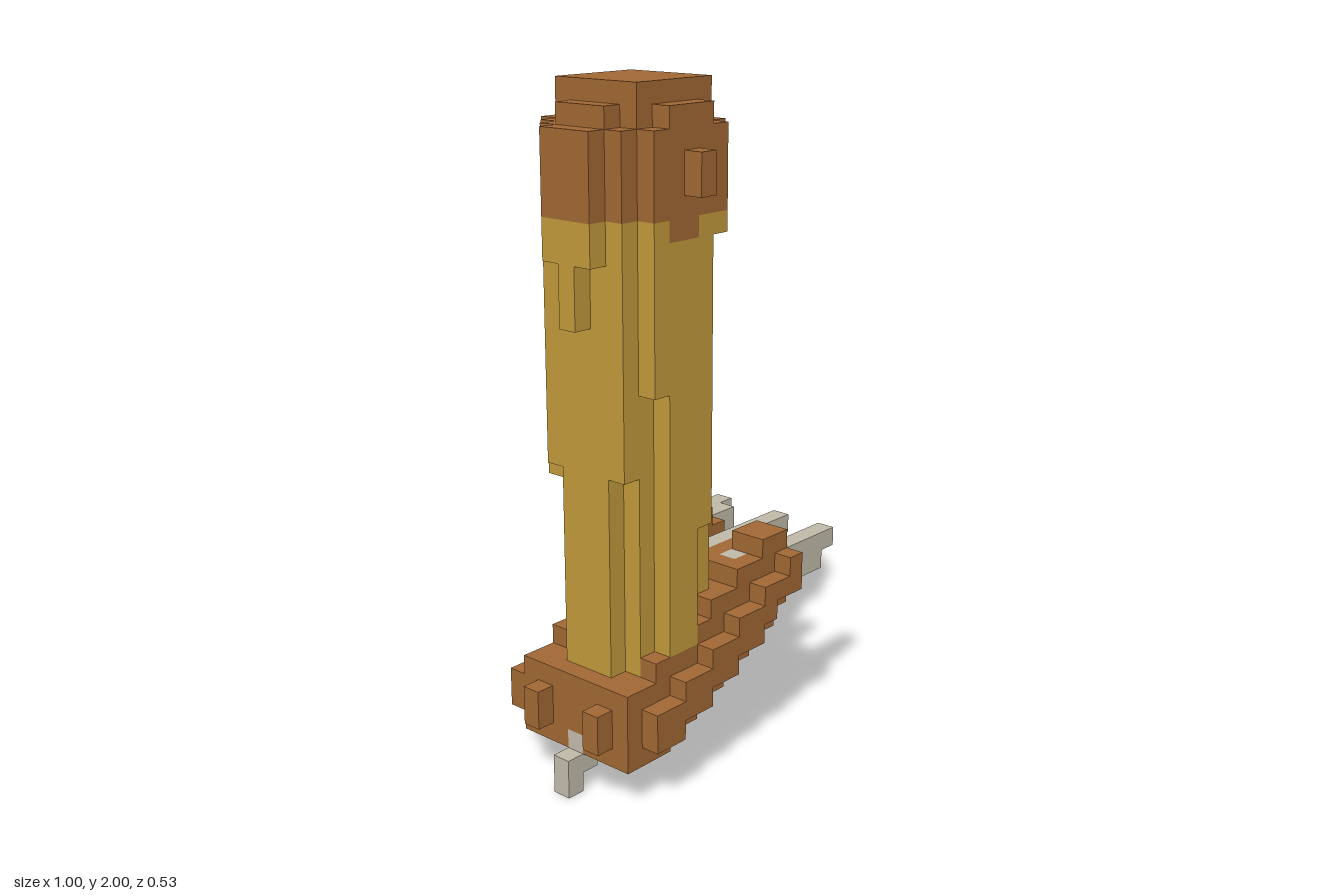
import * as THREE from 'three';
import { mergeGeometries } from 'three/addons/utils/BufferGeometryUtils.js';

const U = 2 / 34; // edge of one block; the grid is 17 x 34 x 9 blocks

export function createModel() {
  const group = new THREE.Group();
  const materials = {
    shaft: ['ochreSkin', 0xbf983b],
    knee: ['brownHide', 0xa06734],
    foot: ['brownHide', 0xa06734],
    claws: ['boneClaw', 0xbfb9a9],
  };
  const cells = new Map();
  const key = (x, y, z) => `${x},${y},${z}`;
  // Fill an inclusive range of blocks; later parts replace earlier ones
  const fill = (part, x0, x1, y0, y1, z0, z1) => {
    for (let x = x0; x <= x1; x++)
      for (let y = y0; y <= y1; y++)
        for (let z = z0; z <= z1; z++) cells.set(key(x, y, z), { part, x, y, z });
  };

  // Sloping foot: thick middle with thin rims on both sides
  for (let i = 1; i <= 12; i++) {
    const bottom = Math.max(2, 1 + Math.floor(i / 2));
    const top = 4 + Math.ceil(i / 2);
    for (let k = 1; k <= 7; k++) {
      const inner = k >= 3 && k <= 5;
      let b = bottom, t = top;
      if (inner && i >= 7) { // groove under the sole
        b = k === 4 ? 7 : Math.max(5, bottom);
        t = Math.min(top, k === 3 ? 8 : 9);
      }
      if (i >= 10 && (k === 3 || k === 4)) continue;
      fill('foot', i, i, b, t, k, k);
    }
    const rim = 3 + Math.floor((i - 2) / 2);
    if (i > 1) fill('foot', i, i, rim, rim + 1, 8, 8);
    fill('foot', i, i, Math.max(3, rim), Math.max(3, rim) + 1, 0, 0);
  }
  // Heel knobs and toe tips
  for (const k of [2, 6]) {
    fill('foot', 0, 0, 3, 4, k, k);
    fill('foot', 13, 13, 8, 9, k, k);
  }

  // Shaft core and its four ribbed sides, narrowing downwards
  fill('shaft', 3, 7, 5, 27, 2, 6);
  fill('shaft', 4, 6, 3, 4, 3, 5);
  fill('shaft', 3, 6, 20, 27, 7, 7);
  fill('shaft', 4, 6, 13, 19, 7, 7);
  fill('shaft', 4, 5, 7, 12, 7, 7);
  fill('shaft', 8, 8, 19, 27, 2, 5);
  fill('shaft', 8, 8, 13, 18, 3, 5);
  fill('shaft', 8, 8, 9, 12, 3, 4);
  fill('shaft', 2, 2, 16, 27, 2, 6);
  fill('shaft', 2, 2, 6, 15, 3, 5);
  fill('shaft', 3, 7, 15, 27, 1, 1);
  fill('shaft', 4, 6, 8, 14, 1, 1);
  // Ridges hanging from the back and outer side
  fill('shaft', 4, 6, 26, 27, 0, 0);
  fill('shaft', 5, 5, 22, 25, 0, 0);
  fill('shaft', 1, 1, 26, 27, 3, 5);
  fill('shaft', 1, 1, 23, 25, 4, 4);

  // Stepped knee with a lower edge dipping at the middle of each side
  fill('knee', 3, 7, 28, 33, 2, 6);
  fill('knee', 3, 7, 27, 31, 7, 7);
  fill('knee', 8, 8, 27, 31, 2, 6);
  fill('knee', 3, 7, 28, 31, 1, 1);
  fill('knee', 2, 2, 28, 31, 2, 6);
  fill('knee', 4, 6, 32, 32, 1, 1);
  fill('knee', 4, 6, 32, 32, 7, 7);
  fill('knee', 2, 2, 32, 32, 3, 5);
  fill('knee', 8, 8, 32, 32, 3, 5);
  fill('knee', 4, 6, 28, 31, 0, 0);
  fill('knee', 1, 1, 28, 31, 3, 5);
  fill('knee', 5, 5, 29, 30, 8, 8);
  fill('knee', 9, 9, 29, 30, 4, 4);
  fill('shaft', 3, 3, 27, 27, 7, 7);
  fill('shaft', 6, 7, 27, 27, 7, 7);
  for (const k of [2, 6]) fill('shaft', 8, 8, 27, 27, k, k);

  // Front claws
  for (const [outer, inner] of [[0, 1], [7, 6]]) {
    fill('claws', 13, 16, 9, 9, outer, outer);
    fill('claws', 13, 15, 8, 8, outer, outer);
    fill('claws', 14, 14, 8, 8, inner, inner);
  }
  fill('claws', 13, 15, 8, 9, 1, 1);
  fill('claws', 10, 16, 9, 9, 4, 4);
  fill('claws', 10, 15, 8, 8, 4, 4);
  fill('claws', 10, 13, 7, 7, 3, 4);
  fill('claws', 10, 13, 8, 8, 3, 3);
  for (const k of [1, 6]) fill('claws', 10, 10, 9, 9, k, k);
  cells.delete(key(14, 8, 6));
  fill('claws', 11, 11, 7, 7, 7, 7);
  cells.delete(key(11, 7, 8));
  // Rear claw
  fill('claws', 0, 0, 0, 1, 4, 4);
  fill('claws', 1, 1, 1, 1, 4, 4);
  fill('claws', 1, 3, 2, 2, 4, 4);

  // One square for each exposed block side
  const sides = [[1, 0, 0], [-1, 0, 0], [0, 1, 0], [0, -1, 0], [0, 0, 1], [0, 0, -1]].map((d) => {
    const q = new THREE.Quaternion().setFromUnitVectors(
      new THREE.Vector3(0, 0, 1), new THREE.Vector3(...d));
    const square = new THREE.PlaneGeometry(U, U).translate(0, 0, U / 2).applyQuaternion(q);
    return { d, square };
  });
  const faces = { shaft: [], knee: [], foot: [], claws: [] };
  for (const { part, x, y, z } of cells.values())
    for (const { d, square } of sides)
      if (!cells.has(key(x + d[0], y + d[1], z + d[2])))
        faces[part].push(square.clone().translate((x - 8) * U, (y + 0.5) * U, (z - 4) * U));

  const made = {};
  for (const part of Object.keys(faces)) {
    const [name, color] = materials[part];
    if (!made[name]) {
      made[name] = new THREE.MeshStandardMaterial({ color });
      made[name].name = name;
    }
    const mesh = new THREE.Mesh(mergeGeometries(faces[part]), made[name]);
    mesh.name = part;
    group.add(mesh);
  }
  return group;
}
